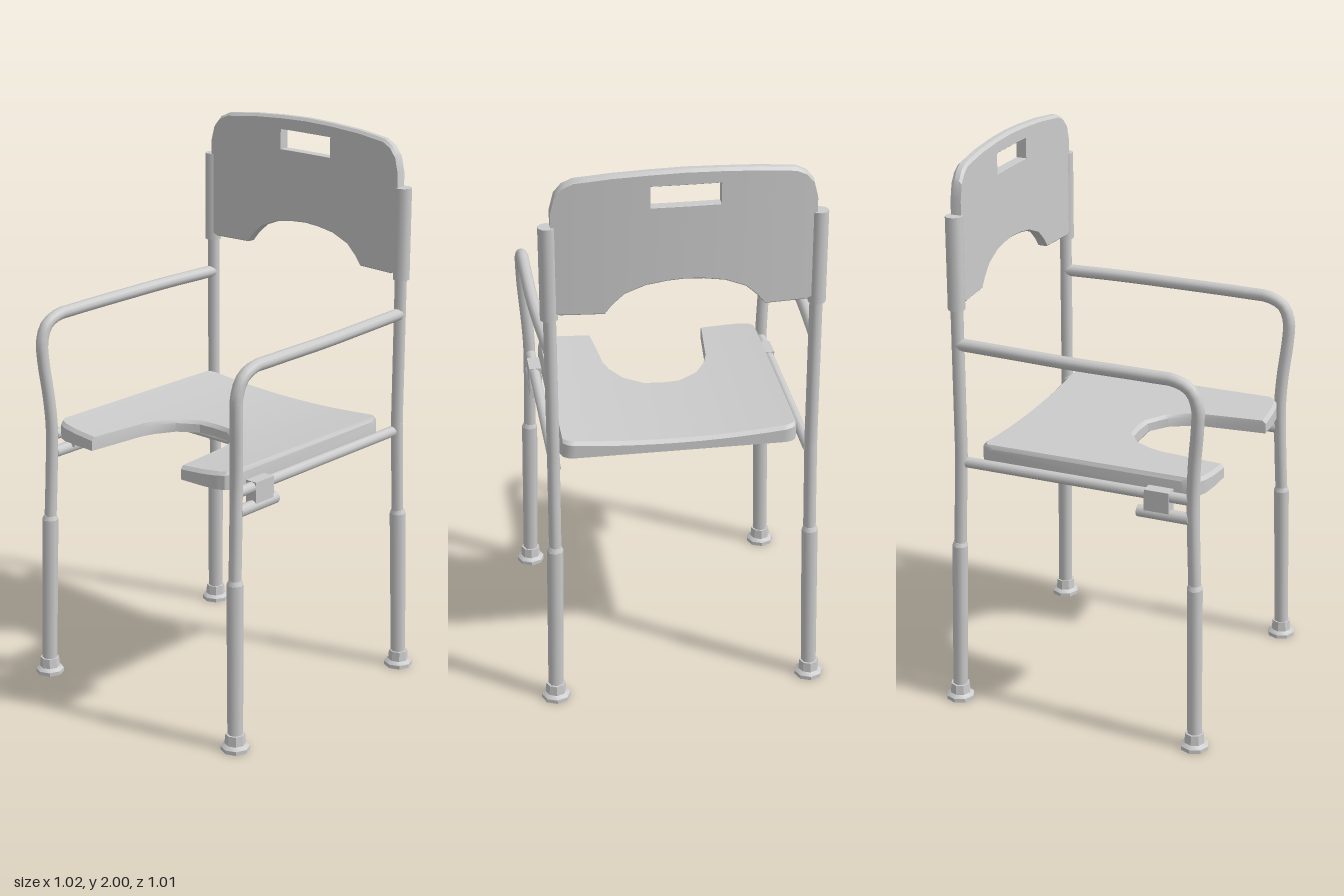
import * as THREE from 'three';
import { toCreasedNormals } from 'three/addons/utils/BufferGeometryUtils.js';

const material = new THREE.MeshStandardMaterial({ color: 0xcccccc });
const V = (x, y, z) => new THREE.Vector3(x, y, z);

function add(group, name, geometry) {
  const mesh = new THREE.Mesh(geometry, material);
  mesh.name = name;
  group.add(mesh);
  return mesh;
}

// straight round bar between two points
function bar(group, name, a, b, ra, rb = ra, sides = 10) {
  const mesh = add(group, name, new THREE.CylinderGeometry(rb, ra, a.distanceTo(b), sides));
  mesh.position.copy(a).lerp(b, 0.5);
  mesh.quaternion.setFromUnitVectors(V(0, 1, 0), b.clone().sub(a).normalize());
}

// linear interpolation through [x, value] pairs
function lerpTable(table, x) {
  for (let i = 1; i < table.length; i++) {
    const [x0, y0] = table[i - 1], [x1, y1] = table[i];
    if (x <= x1) return y0 + (y1 - y0) * (x - x0) / (x1 - x0);
  }
  return table[table.length - 1][1];
}

// solid lofted along x; ring(x) gives a counter-clockwise [u, v] outline, place maps it to space
function loft(xs, ring, place) {
  const pos = [], idx = [], n = ring(xs[0]).length, last = (xs.length - 1) * n;
  for (const x of xs) for (const [u, v] of ring(x)) pos.push(...place(x, u, v));
  for (let k = 0; k < last; k += n) {
    for (let i = 0; i < n; i++) {
      const a = k + i, b = k + (i + 1) % n;
      idx.push(a, b, a + n, b, b + n, a + n);
    }
  }
  for (let i = 1; i < n - 1; i++) idx.push(0, i + 1, i, last, last + i, last + i + 1);
  const geometry = new THREE.BufferGeometry();
  geometry.setAttribute('position', new THREE.Float32BufferAttribute(pos, 3));
  geometry.setIndex(idx);
  return toCreasedNormals(geometry, 0.5);
}

// sorted stations from a half list, mirrored about x = 0
const mirrored = (half) => [...half.slice(1).reverse().map((x) => -x), ...half];

function buildSeat(group) {
  const front = [[0, 0.055], [0.065, 0.06], [0.135, 0.11], [0.175, 0.18], [0.19, 0.23], [0.212, 0.455],
    [0.3, 0.452], [0.36, 0.445], [0.39, 0.433], [0.403, 0.415], [0.412, 0.385]];
  const back = [[0, 0.377], [0.37, 0.377], [0.393, 0.37], [0.405, 0.358], [0.412, 0.335]];
  const xs = mirrored([0, 0.065, 0.135, 0.175, 0.19, 0.212, 0.3, 0.36, 0.37, 0.39, 0.403, 0.412]);
  const ring = (x) => {
    const a = Math.abs(x), lo = -lerpTable(front, a), hi = lerpTable(back, a), b = 0.012;
    const top = 0.966 + 0.022 * (a / 0.4) ** 2 - (a > 0.41 ? 0.014 : 0);
    return [[lo, 0.924], [hi, 0.924], [hi, top - b], [hi - b, top], [lo + b, top], [lo, top - b]];
  };
  add(group, 'seat', loft(xs, ring, (x, u, v) => [x, v, -u]));
}

function buildBackrest(group) {
  const bottom = [[0, 1.615], [0.06, 1.611], [0.13, 1.6], [0.2, 1.572], [0.24, 1.535], [0.265, 1.503],
    [0.41, 1.503], [0.434, 1.515]];
  const top = [[0, 1.995], [0.115, 1.992], [0.24, 1.985], [0.36, 1.972], [0.395, 1.955], [0.42, 1.925], [0.434, 1.87]];
  const outer = [0.115, 0.13, 0.2, 0.24, 0.265, 0.31, 0.36, 0.38, 0.395, 0.41, 0.42, 0.434];
  const middle = mirrored([0, 0.03, 0.06, 0.09, 0.115]);
  const lower = (x) => lerpTable(bottom, Math.abs(x));
  const upper = (x) => lerpTable(top, Math.abs(x));
  const ringOf = (lo, hi, bevelLow, bevelHigh) => (x) => {
    const z = -0.427 - 0.023 * (1 - (x / 0.434) ** 2), t = 0.019;
    const l = lo(x), h = hi(x), p = bevelLow, q = bevelHigh;
    return [[l + p, z - t], [h - q, z - t], [h, z - t + q], [h, z + t - q],
      [h - q, z + t], [l + p, z + t], [l, z + t - p], [l, z - t + p]];
  };
  const place = (x, u, v) => [x, u, v];
  const back = new THREE.Group();
  back.name = 'backrest';
  // two side panels, and the strips above and below the hand slot
  add(back, 'backrestLeft', loft(outer, ringOf(lower, upper, 0.004, 0.01), place));
  add(back, 'backrestRight', loft(outer.map((x) => -x).reverse(), ringOf(lower, upper, 0.004, 0.01), place));
  add(back, 'backrestMiddle', loft(middle, ringOf(lower, () => 1.87, 0.004, 0.001), place));
  add(back, 'backrestHandle', loft(middle, ringOf(() => 1.943, upper, 0.001, 0.01), place));
  group.add(back);
}

// telescopic lower leg with its rubber foot
function buildLowerLeg(group, s, front) {
  const f = front ? 1 : -1;
  const leg = new THREE.Group();
  leg.name = front ? 'frontLowerLeg' : 'rearLowerLeg';
  const foot = V(s * 0.459, 0.03, f * 0.455), knee = V(s * 0.447, 0.605, f * 0.444);
  bar(leg, 'legSleeve', foot, knee, 0.027, 0.029, 8);
  bar(leg, 'legCollar', knee, V(s * 0.4465, 0.62, f * 0.4435), 0.029, 0.023, 8);
  const profile = [[0, 0], [0.051, 0], [0.051, 0.014], [0.037, 0.024], [0.034, 0.06], [0, 0.06]];
  const rubber = new THREE.LatheGeometry(profile.map(([r, y]) => new THREE.Vector2(r, y)), 8);
  add(leg, 'rubberFoot', toCreasedNormals(rubber, 0.5)).position.set(foot.x, 0, foot.z);
  group.add(leg);
}

function buildSide(group, s) {
  const side = new THREE.Group();
  side.name = s > 0 ? 'leftFrame' : 'rightFrame';
  buildLowerLeg(side, s, true);
  buildLowerLeg(side, s, false);

  // front leg bending back into the armrest
  const path = [[0.447, 0.58, 0.445], [0.442, 0.8, 0.435], [0.44, 0.95, 0.431], [0.445, 1.06, 0.436],
    [0.455, 1.2, 0.449], [0.458, 1.27, 0.449], [0.46, 1.325, 0.425], [0.46, 1.352, 0.37], [0.461, 1.355, 0.3],
    [0.462, 1.357, 0], [0.456, 1.359, -0.2], [0.443, 1.359, -0.43]];
  const curve = new THREE.CatmullRomCurve3(path.map(([x, y, z]) => V(s * x, y, z)));
  add(side, 'frontLegAndArmrest', new THREE.TubeGeometry(curve, 60, 0.022, 10));

  // rear post and the backrest sleeve on it
  bar(side, 'rearPostLower', V(s * 0.447, 0.58, -0.444), V(s * 0.443, 0.95, -0.43), 0.022);
  bar(side, 'rearPostUpper', V(s * 0.443, 0.94, -0.43), V(s * 0.443, 1.78, -0.43), 0.022);
  bar(side, 'backrestSleeve', V(s * 0.445, 1.485, -0.43), V(s * 0.445, 1.812, -0.43), 0.03);

  // seat rail with the hanging clip
  bar(side, 'seatRail', V(s * 0.437, 0.924, 0.42), V(s * 0.437, 0.924, -0.43), 0.019);
  const clip = new THREE.Group();
  clip.name = 'railClip';
  add(clip, 'clipPlate', new THREE.BoxGeometry(0.045, 0.082, 0.09)).position.set(s * 0.434, 0.903, 0.305);
  bar(clip, 'clipTube', V(s * 0.44, 0.857, 0.42), V(s * 0.44, 0.857, 0.232), 0.021);
  side.add(clip);
  group.add(side);
}

export function createModel() {
  const group = new THREE.Group();
  group.name = 'commodeChair';
  buildSeat(group);
  buildBackrest(group);
  for (const s of [1, -1]) buildSide(group, s);
  // cross bars under the seat
  for (const z of [-0.225, 0.04]) bar(group, 'crossBar', V(-0.43, 0.916, z), V(0.43, 0.916, z), 0.012);
  return group;
}
